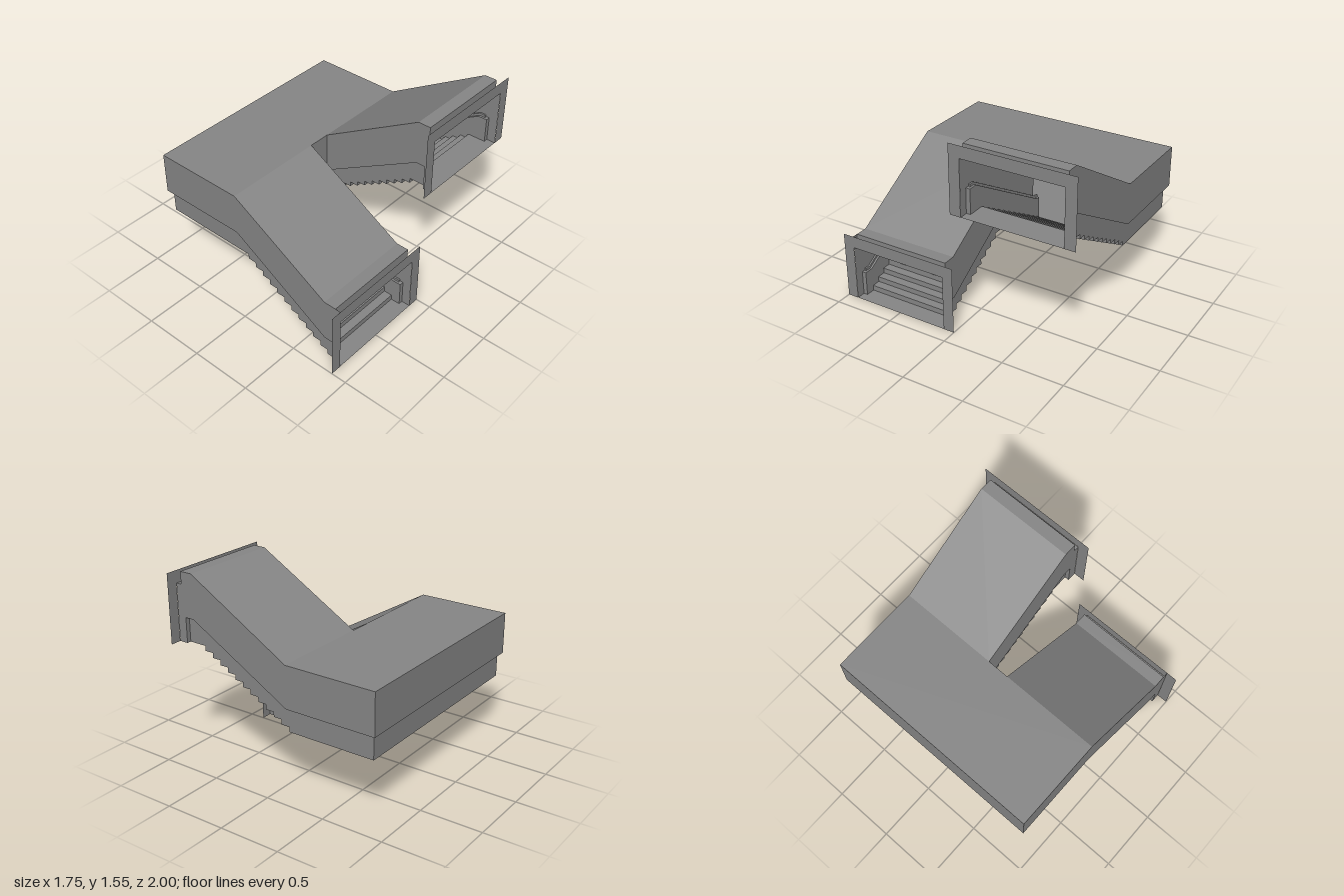
import * as THREE from 'three';

const material = new THREE.MeshStandardMaterial({
  color: 0x868686, flatShading: true, side: THREE.DoubleSide,
});

const END = 0.874;            // plane of both doorways
const BACK = -0.875;          // closed end of the landing
const TURN = -0.122;          // where the flights leave the landing
const OUT = 0.91, IN = 0.09;  // wall positions of one flight
const STEP_OUT = 0.875, STEP_IN = 0.125; // kerb positions, set in from the walls
const FLOOR = 0.52, LEDGE = 0.713, ROOF = 1.05;
const DOOR_TOP = 0.453, DOOR_ROOF = 0.55; // heights above the doorway floor

function add(group, name, geometry, z = 0) {
  const mesh = new THREE.Mesh(geometry, material);
  mesh.name = name;
  mesh.position.z = z;
  group.add(mesh);
  return mesh;
}

// Thin folded sheet: an x/y profile swept from z0 to z1
function sheet(profile, z0, z1) {
  const pos = [];
  for (let i = 0; i < profile.length - 1; i++) {
    const [ax, ay] = profile[i], [bx, by] = profile[i + 1];
    pos.push(ax, ay, z0, ax, ay, z1, bx, by, z1, ax, ay, z0, bx, by, z1, bx, by, z0);
  }
  const g = new THREE.BufferGeometry();
  g.setAttribute('position', new THREE.Float32BufferAttribute(pos, 3));
  g.computeVertexNormals();
  return g;
}

const toShape = (pts) => new THREE.Shape(pts.map(([x, y]) => new THREE.Vector2(x, y)));
const panel = (pts) => new THREE.ShapeGeometry(toShape(pts));

// One enclosed flight; side is +1 (front, going down) or -1 (back, going up)
function createFlight(name, side, doorY, firstRiser) {
  const flight = new THREE.Group();
  flight.name = name;
  const count = 12, run = 0.0705, rise = (doorY - FLOOR) / count;

  // Steps, continuing into the threshold floor
  const steps = [[-0.155, FLOOR]];
  for (let k = 0; k < count; k++) {
    const x = firstRiser + k * run;
    steps.push([x, FLOOR + k * rise], [x, FLOOR + (k + 1) * rise]);
  }
  steps.push([0.802, doorY]);
  add(flight, 'steps', sheet(steps, side * STEP_IN, side * STEP_OUT));
  add(flight, 'threshold', sheet([[0.802, doorY], [END, doorY]], side * IN, side * OUT));

  // Roof with the lowered strip over the doorway
  const roof = [
    [TURN, ROOF], [0.727, doorY + DOOR_ROOF], [0.829, doorY + DOOR_ROOF],
    [0.829, doorY + DOOR_TOP], [END, doorY + DOOR_TOP],
  ];
  add(flight, 'roof', sheet(roof, side * IN, side * OUT));

  const ledge = [[TURN, LEDGE], [0.727, doorY + 0.2], [0.802, doorY + 0.2], [0.802, doorY]];

  const sides = [
    { label: 'outer', wall: OUT, kerb: STEP_OUT, wallX: BACK, kerbX: -0.845 },
    { label: 'inner', wall: IN, kerb: STEP_IN, wallX: TURN, kerbX: -0.155 },
  ];
  for (const { label, wall, kerb, wallX, kerbX } of sides) {
    const outer = label === 'outer';
    // The lower flight's outer wall runs full height to the doorway
    const top = outer && side > 0
      ? [...roof.slice(0, 2), [END, doorY + DOOR_ROOF]] : roof;
    const wallPts = [...top, [END, doorY], ...[...ledge].reverse()];
    if (outer) wallPts.push([wallX, LEDGE], [wallX, ROOF]);
    add(flight, label + 'Wall', panel(wallPts), side * wall);

    // Kerb between the ledge and the steps
    const kerbPts = [[kerbX, LEDGE], ...ledge, ...steps.slice(1, -1).reverse(), [kerbX, FLOOR]];
    add(flight, label + 'Kerb', panel(kerbPts), side * kerb);
    add(flight, label + 'Ledge',
      sheet([[outer ? BACK : kerbX, LEDGE], ...ledge], side * wall, side * kerb));

    // Slim rail lying on the ledge
    const path = [[kerbX, LEDGE], ledge[0], ledge[1], [0.775, doorY + 0.2]];
    const band = [...path, ...path.map(([x, y]) => [x, y + 0.02]).reverse()];
    const rail = new THREE.ExtrudeGeometry(toShape(band), { depth: 0.014, bevelEnabled: false });
    const middle = side * (outer ? wall - 0.011 : wall + 0.011);
    add(flight, label + 'Rail', rail, middle - 0.007);
  }

  // Flat doorway surround, wider than the passage
  const surround = panel([
    [0, 0], [IN, 0], [IN, DOOR_TOP], [OUT, DOOR_TOP], [OUT, 0],
    [1, 0], [1, DOOR_ROOF], [0, DOOR_ROOF],
  ]);
  surround.rotateY(-Math.PI / 2);
  if (side < 0) surround.translate(0, 0, -1);
  const frame = add(flight, 'doorSurround', surround);
  frame.position.set(END + 0.001, doorY, 0);
  return flight;
}

// Landing that joins both flights
function createLanding() {
  const landing = new THREE.Group();
  landing.name = 'landing';
  add(landing, 'landingRoof', sheet([[BACK, ROOF], [TURN, ROOF]], -OUT, OUT));
  add(landing, 'landingEndWall', sheet([[BACK, LEDGE], [BACK, ROOF]], -OUT, OUT));
  add(landing, 'landingEndLedge',
    sheet([[BACK, LEDGE], [-0.845, LEDGE]], -STEP_OUT, STEP_OUT));
  add(landing, 'landingEndKerb',
    sheet([[-0.845, FLOOR], [-0.845, LEDGE]], -STEP_OUT, STEP_OUT));
  add(landing, 'landingFloor',
    sheet([[-0.845, FLOOR], [-0.155, FLOOR]], -STEP_OUT, STEP_OUT));
  // Short wall between the flights
  add(landing, 'middleWall', sheet([[TURN, LEDGE], [TURN, ROOF]], -IN, IN));
  add(landing, 'middleLedge', sheet([[-0.155, LEDGE], [TURN, LEDGE]], -IN, IN));
  add(landing, 'middleKerb',
    sheet([[-0.155, FLOOR], [-0.155, LEDGE]], -STEP_IN, STEP_IN));
  return landing;
}

export function createModel() {
  const model = new THREE.Group();
  model.name = 'enclosedStaircase';
  model.add(createLanding());
  model.add(createFlight('lowerFlight', 1, 0, -0.05));
  model.add(createFlight('upperFlight', -1, 1, -0.12));
  return model;
}
